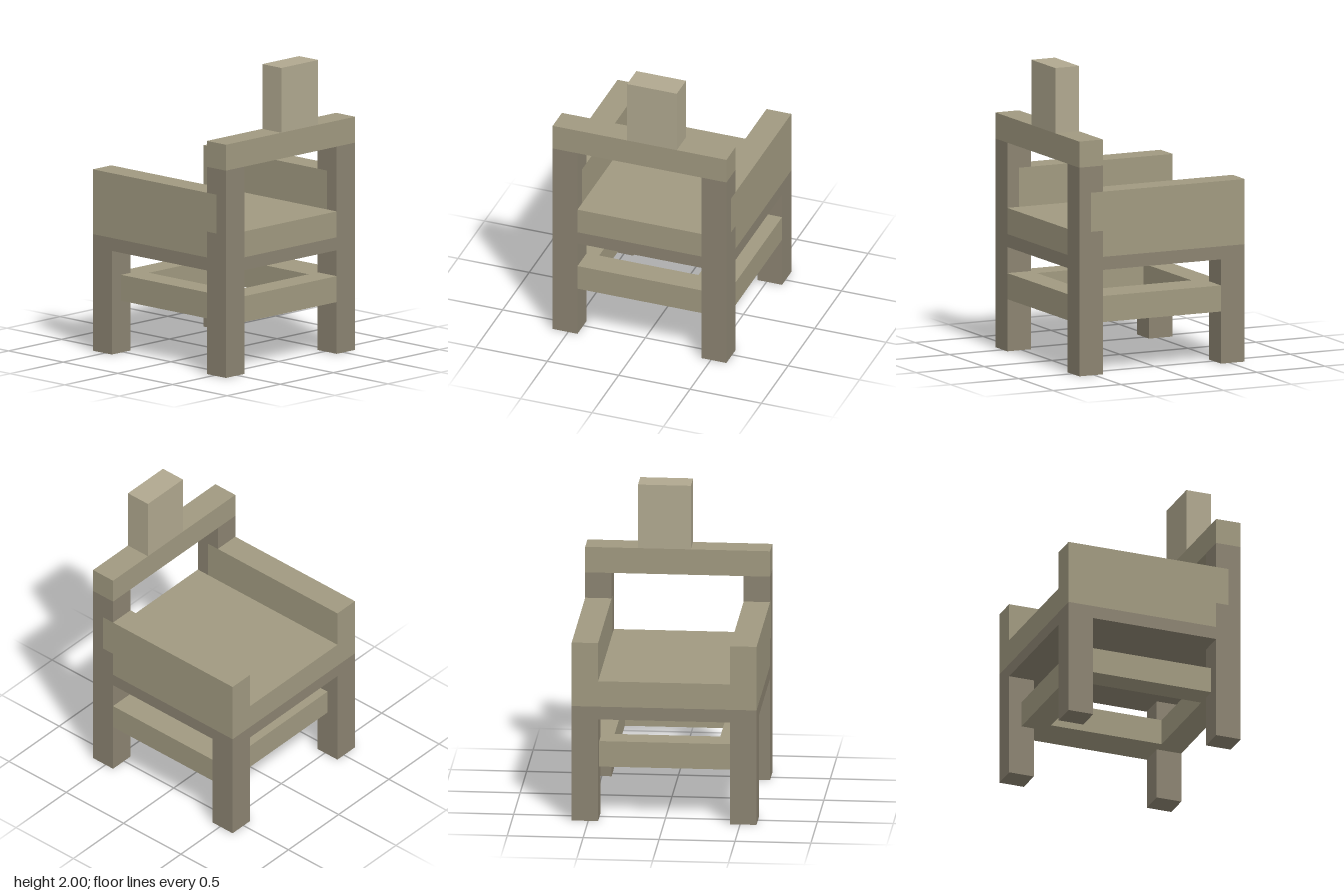
import * as THREE from 'three';

const U = 2 / 23; // grid step: the chair is 23 steps tall

const dark = new THREE.MeshStandardMaterial({ color: 0x8b8371 });
const mid = new THREE.MeshStandardMaterial({ color: 0xa09980 });
const light = new THREE.MeshStandardMaterial({ color: 0xb0a88f });

export function createModel() {
  const model = new THREE.Group();
  model.name = 'chair';

  // Block given by its extents in grid steps
  const block = (name, material, [x0, x1], [y0, y1], [z0, z1]) => {
    const geometry = new THREE.BoxGeometry((x1 - x0) * U, (y1 - y0) * U, (z1 - z0) * U);
    const mesh = new THREE.Mesh(geometry, material);
    mesh.name = name;
    mesh.position.set((x0 + x1) / 2 * U, (y0 + y1) / 2 * U, (z0 + z1) / 2 * U);
    model.add(mesh);
  };

  for (const [side, x] of [['left', [5, 7]], ['right', [-7, -5]]]) {
    // Short leg, and tall post notched to receive the armrest
    block(side + 'ShortLeg', dark, x, [0, 8], [-7, -5]);
    block(side + 'PostLower', dark, x, [0, 11], [5, 7]);
    block(side + 'PostNotch', dark, x, [11, 14], [6, 7]);
    block(side + 'PostUpper', dark, x, [14, 16], [5, 7]);
    block(side + 'Armrest', mid, x, [11, 14], [-7, 6]);
  }

  // Seat on its frame, with a narrower tongue between the posts
  block('seatFrame', dark, [-7, 7], [8, 9], [-7, 5]);
  block('seatFrameTongue', dark, [-5, 5], [8, 9], [5, 7]);
  block('seat', mid, [-7, 7], [9, 11], [-7, 5]);
  block('seatTongue', mid, [-5, 5], [9, 11], [5, 7]);

  // Stretchers between the legs
  block('frontStretcher', mid, [-5, 5], [4, 6], [5, 7]);
  block('backStretcher', mid, [-5, 5], [4, 6], [-6, -4]);
  block('leftStretcher', mid, [4, 7], [4, 6], [-5, 5]);
  block('rightStretcher', mid, [-6, -4], [4, 6], [-5, 5]);

  // Top rail and off-centre headrest
  block('topRail', mid, [-7, 7], [16, 18], [5, 7]);
  block('headrest', light, [-1, 3], [18, 23], [5, 7]);

  return model;
}
